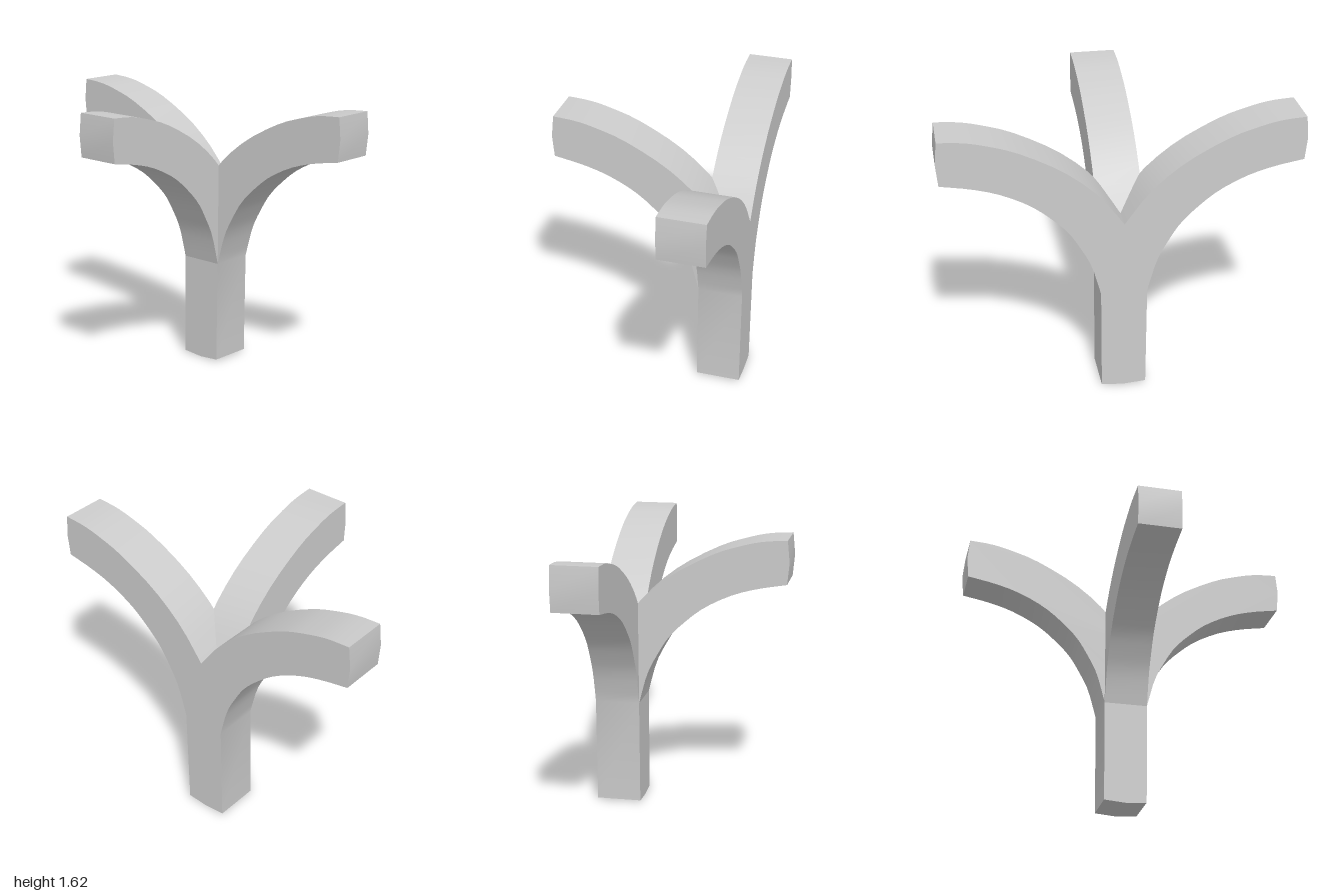
import * as THREE from 'three';
import { toCreasedNormals } from 'three/addons/utils/BufferGeometryUtils.js';

const HALF = 0.13;      // half thickness of every beam
const POST_Z = -0.43;   // post axis

const smooth = (pts, n) =>
  new THREE.SplineCurve(pts.map(([x, y]) => new THREE.Vector2(x, y))).getPoints(n);

// Underside of an arm, from the post out to the tip
const under = smooth([
  [0.13, 0.62], [0.18, 0.8], [0.24, 0.92], [0.31, 1.03], [0.41, 1.13],
  [0.52, 1.215], [0.67, 1.29], [0.82, 1.335], [0.985, 1.365],
], 20);
// Upper side of an arm, from the tip back to the post axis
const upper = smooth([
  [0.985, 1.615], [0.85, 1.605], [0.72, 1.575], [0.56, 1.52],
  [0.33, 1.395], [0.14, 1.235], [0, 1.05],
], 16);
const tip = new THREE.Vector2(0.997, 1.49);
const armEdge = [...under, tip, ...upper];

// Beam cut from a side outline, centred on its thickness
function beam(name, outline) {
  const geo = new THREE.ExtrudeGeometry(new THREE.Shape(outline), {
    depth: HALF * 2, bevelEnabled: false, steps: 1,
  });
  geo.translate(0, 0, -HALF);
  const mesh = new THREE.Mesh(
    toCreasedNormals(geo, 0.5),
    new THREE.MeshStandardMaterial({ color: 0xcccccc }),
  );
  mesh.name = name;
  mesh.position.z = POST_Z;
  return mesh;
}

export function createModel() {
  const group = new THREE.Group();
  group.name = 'threeWayBracedPost';

  // Post with its left and right arms as one Y-shaped outline
  const mirrored = armEdge.slice(0, -1).reverse().map((p) => new THREE.Vector2(-p.x, p.y));
  group.add(beam('postWithSideArms', [
    new THREE.Vector2(-0.127, 0.01), new THREE.Vector2(0, 0), new THREE.Vector2(0.127, 0.01),
    ...armEdge, ...mirrored,
  ]));

  // Front arm, its root buried in the post
  const frontArm = beam('frontArm', [
    new THREE.Vector2(0, 0.62), ...armEdge,
  ]);
  frontArm.rotation.y = -Math.PI / 2;
  group.add(frontArm);

  return group;
}
